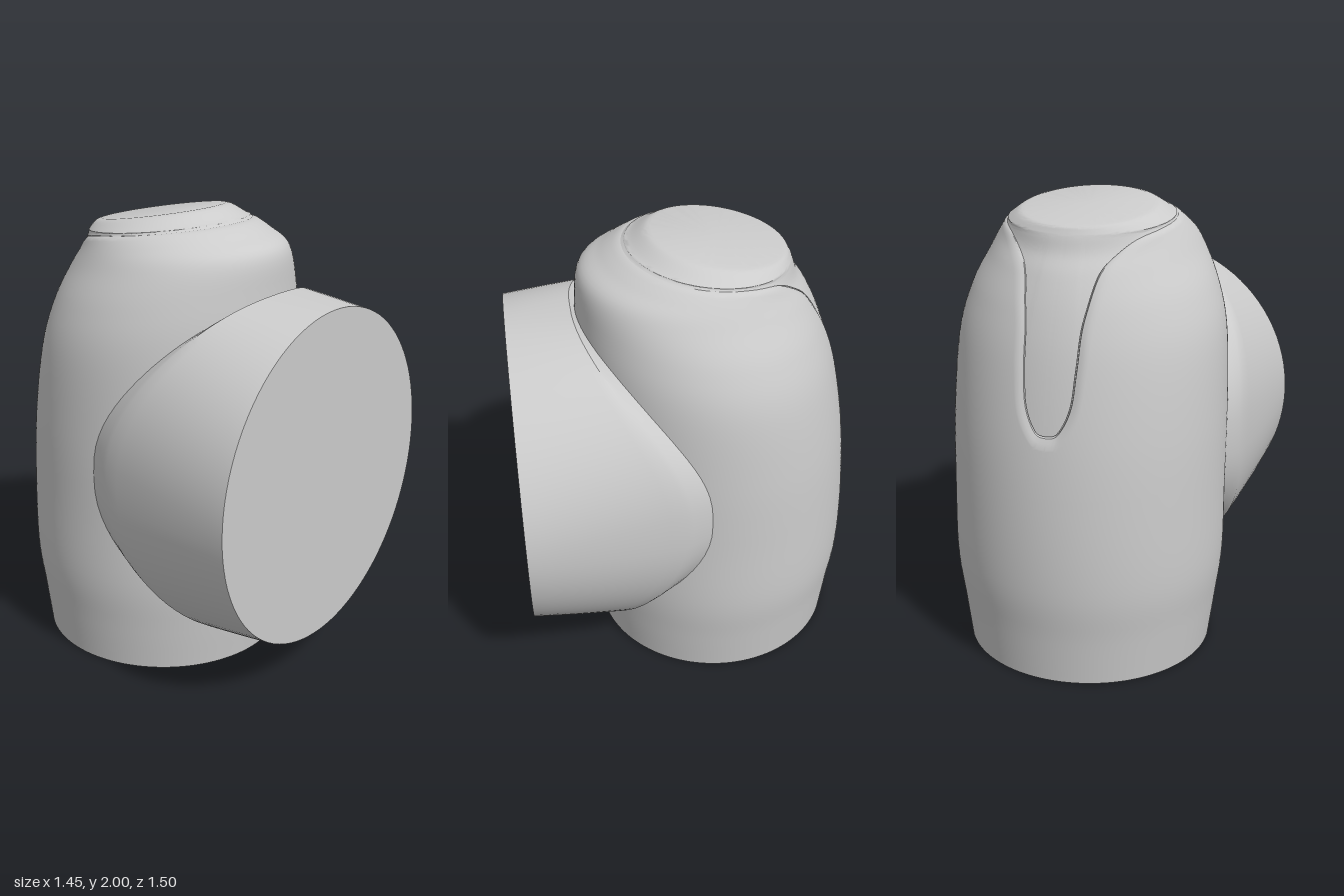
import * as THREE from 'three';
import { toCreasedNormals } from 'three/addons/utils/BufferGeometryUtils.js';

const V2 = (x, y) => new THREE.Vector2(x, y);
const V3 = (x, y, z) => new THREE.Vector3(x, y, z);
const lerp = THREE.MathUtils.lerp;

// Skin closed rings of points, optionally closing the first or last ring
function loft(rings, capStart, capEnd) {
  const centre = (ring) => {
    const c = V3(0, 0, 0);
    ring.forEach((p) => c.addScaledVector(p, 1 / ring.length));
    // midpoint of the extremes keeps uneven rings centred
    const box = new THREE.Box3().setFromPoints(ring);
    c.copy(box.getCenter(V3(0, 0, 0)));
    return ring.map(() => c);
  };
  const all = [...rings];
  if (capStart) all.unshift(centre(rings[0]));
  if (capEnd) all.push(centre(rings[rings.length - 1]));
  const n = all[0].length;
  const index = [];
  for (let i = 0; i < all.length - 1; i++) {
    for (let j = 0; j < n; j++) {
      const a = i * n + j, b = i * n + (j + 1) % n;
      index.push(a, a + n, b, b, a + n, b + n);
    }
  }
  const geo = new THREE.BufferGeometry().setFromPoints(all.flat());
  geo.setIndex(index);
  return toCreasedNormals(geo, 0.6);
}

// Tilted body sections: front z, front y, back z, back y, half width
const sections = [
  [0.41, 0, -0.70, 0, 0.555],
  [0.435, 0.2, -0.722, 0.2, 0.58],
  [0.455, 0.42, -0.747, 0.42, 0.605],
  [0.46, 0.75, -0.745, 0.72, 0.605],
  [0.46, 1.12, -0.717, 1.06, 0.603],
  [0.46, 1.48, -0.66, 1.38, 0.583],
  [0.455, 1.68, -0.60, 1.58, 0.53],
  [0.435, 1.84, -0.535, 1.72, 0.455],
  [0.34, 1.905, -0.48, 1.80, 0.41],
  [0.26, 1.945, -0.455, 1.86, 0.37],
  [0.22, 1.958, -0.442, 1.885, 0.345],
  [0.16, 1.993, -0.43, 1.905, 0.30],
  [0.13, 2.0, -0.41, 1.913, 0.27],
];
const last = sections.length - 1;
const curve = (pts) => new THREE.CatmullRomCurve3(pts, false, 'catmullrom', 0.5);
const frontCurve = curve(sections.map((s) => V3(s[0], s[1], s[4])));
const backCurve = curve(sections.map((s) => V3(s[2], s[3], 0)));

// Point on the body: angle from the back, section number, inward depth
function onBody(angle, v, depth = 0) {
  const f = frontCurve.getPoint(v / last), b = backCurve.getPoint(v / last);
  const k = 1 - depth / 0.55, c = Math.cos(angle) * k;
  return V3(
    f.z * Math.sin(angle) * k,
    (f.y + b.y) / 2 - ((f.y - b.y) / 2) * c,
    (f.x + b.x) / 2 - ((f.x - b.x) / 2) * c
  );
}

// Half outline (angle, section), mirrored into a full loop
function outline(pts) {
  const half = new THREE.SplineCurve(pts.map(([a, v]) => V2(a, v))).getPoints(88);
  const mirrored = half.slice(1, -1).reverse().map((p) => V2(-p.x, p.y));
  return [...half, ...mirrored];
}
const outer = outline([
  [0, 4.0], [0.1, 4.06], [0.21, 4.42], [0.25, 5], [0.3, 6], [0.5, 7.35],
  [0.82, 8.35], [1.2, 8.7], [1.6, 8.75], [2.1, 8.75], [2.6, 8.75], [Math.PI, 8.75],
]);
const inner = outline([
  [0, 4.15], [0.08, 4.2], [0.16, 4.5], [0.19, 5], [0.24, 6], [0.43, 7.5],
  [0.78, 8.6], [1.2, 8.95], [1.6, 9], [2.1, 9], [2.6, 9], [Math.PI, 9],
]);
const count = outer.length;
const uniform = outer.map((_, i) => {
  const a = (i / count) * Math.PI * 2;
  return a > Math.PI + 1e-6 ? a - Math.PI * 2 : a;
});

function bodyGeometry() {
  const start = 3.4, rings = [];
  for (let k = 0; k <= 18; k++) rings.push(uniform.map((a) => onBody(a, (k / 18) * start)));
  for (let k = 1; k <= 32; k++) {
    const t = k / 32;
    rings.push(outer.map((p, i) => onBody(lerp(uniform[i], p.x, t), lerp(start, p.y, t))));
  }
  // bevel down to the seam, then the groove
  for (const [t, d] of [[0.45, 0.005], [0.85, 0.012], [0.92, 0.026], [1, 0.026]]) {
    rings.push(outer.map((p, i) => onBody(lerp(p.x, inner[i].x, t), lerp(p.y, inner[i].y, t), d)));
  }
  return loft(rings, true, false);
}

function lidGeometry() {
  const rings = [inner.map((p) => onBody(p.x, p.y, 0.026))];
  for (let k = 0; k <= 24; k++) {
    const t = k / 24;
    rings.push(inner.map((p) => onBody(p.x, lerp(p.y, 9.5, t), 0.012 * (1 - t * t))));
  }
  for (let v = 9.75; v <= last; v += 0.25) rings.push(inner.map((p) => onBody(p.x, v)));
  return loft(rings, false, true);
}

// Round front port whose rear edge wraps the body as a rounded saddle
function portGeometry() {
  const n = 96, midY = 0.932;
  const ring = (fn) => Array.from({ length: n }, (_, j) => {
    const a = -(j / n) * Math.PI * 2;
    return fn(Math.cos(a), Math.sin(a));
  });
  const pow = (s) => Math.sign(s) * Math.abs(s) ** 0.8;
  const saddle = (scale, lift) => ring((c, s) => {
    const x = 0.645 * pow(c);
    const z = -0.145 + Math.sqrt(0.605 ** 2 - (0.9 * x) ** 2);
    return V3(x * scale, midY + 0.75 * pow(s) * scale, z + lift(Math.abs(c)));
  });
  const rim = saddle(1, (c) => 0.015 + 0.045 * c);
  const face = ring((c, s) => V3(0.725 * c, midY + 0.727 * s, 0.75));
  const rings = [
    saddle(0.9, () => -0.09),
    saddle(0.955, () => -0.015),
    saddle(0.985, (c) => 0.005 + 0.025 * c),
  ];
  for (let k = 0; k <= 10; k++) {
    const t = k / 10;
    rings.push(rim.map((p, j) => {
      const q = p.clone().lerp(face[j], t);
      q.x *= 1 + 0.04 * t * (1 - t);
      return q;
    }));
  }
  return loft(rings, true, true);
}

export function createModel() {
  const group = new THREE.Group();
  const material = new THREE.MeshStandardMaterial({ color: 0xcccccc });
  const parts = { body: bodyGeometry(), lid: lidGeometry(), frontPort: portGeometry() };
  for (const [name, geometry] of Object.entries(parts)) {
    const mesh = new THREE.Mesh(geometry, material);
    mesh.name = name;
    group.add(mesh);
  }
  return group;
}
